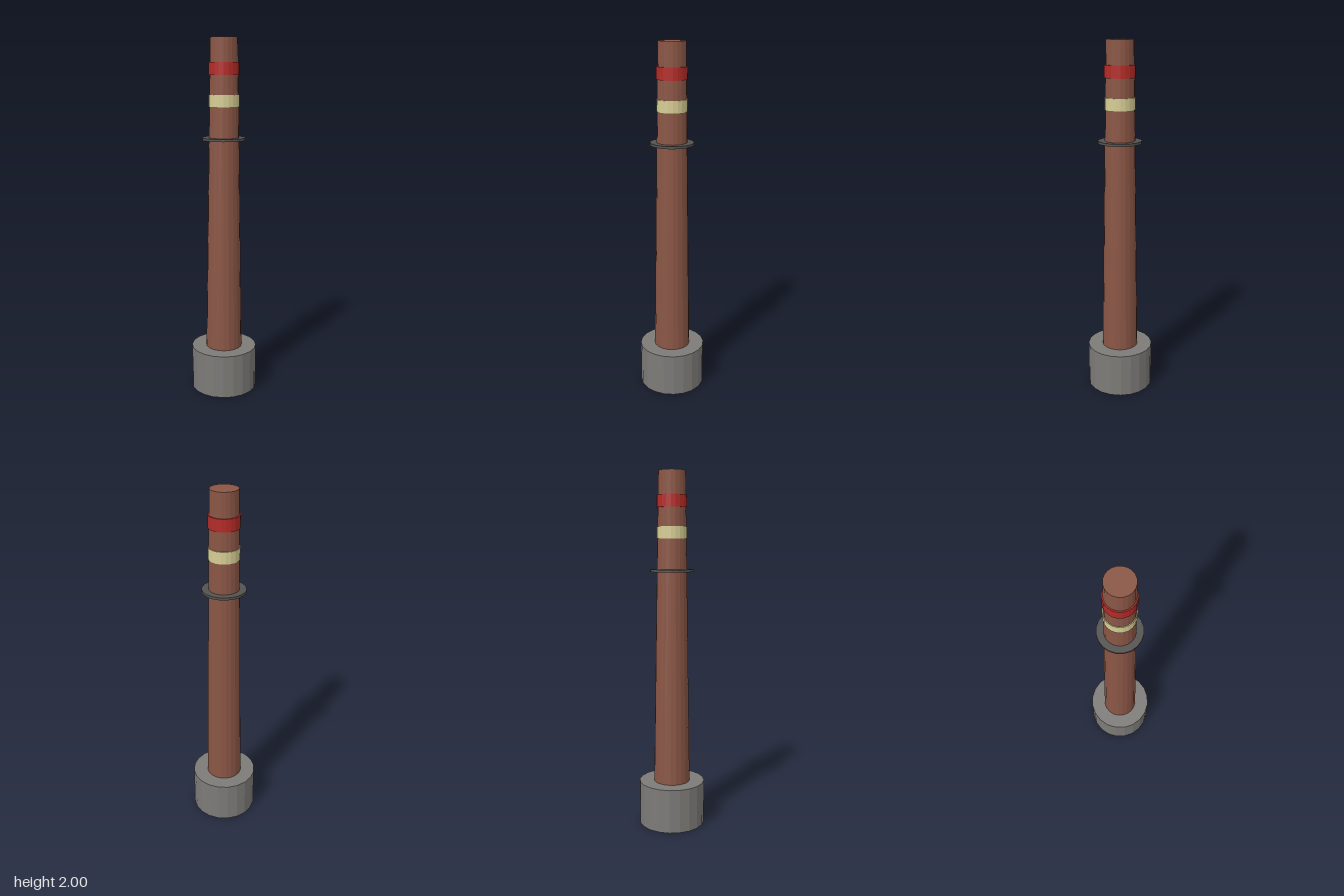
import * as THREE from 'three';

const SIDES = 20;

export function createModel() {
  const group = new THREE.Group();

  // Adds a flat-shaded upright drum between two heights
  function drum(name, color, rBottom, rTop, y0, y1) {
    const mesh = new THREE.Mesh(
      new THREE.CylinderGeometry(rTop, rBottom, y1 - y0, SIDES),
      new THREE.MeshStandardMaterial({ color, flatShading: true })
    );
    mesh.name = name;
    mesh.position.y = (y0 + y1) / 2;
    group.add(mesh);
  }

  // Stone footing and tapered brick stack
  drum('base', 0x7d7b78, 0.187, 0.187, 0, 0.25);
  drum('stack', 0x8a5645, 0.103, 0.075, 0.25, 2);

  // Thin maintenance platform
  drum('platform', 0x555351, 0.121, 0.121, 1.453, 1.467);

  // Painted bands near the top
  drum('creamBand', 0xd6cd94, 0.084, 0.084, 1.635, 1.7);
  drum('redBand', 0xb32b27, 0.084, 0.084, 1.803, 1.87);

  return group;
}
